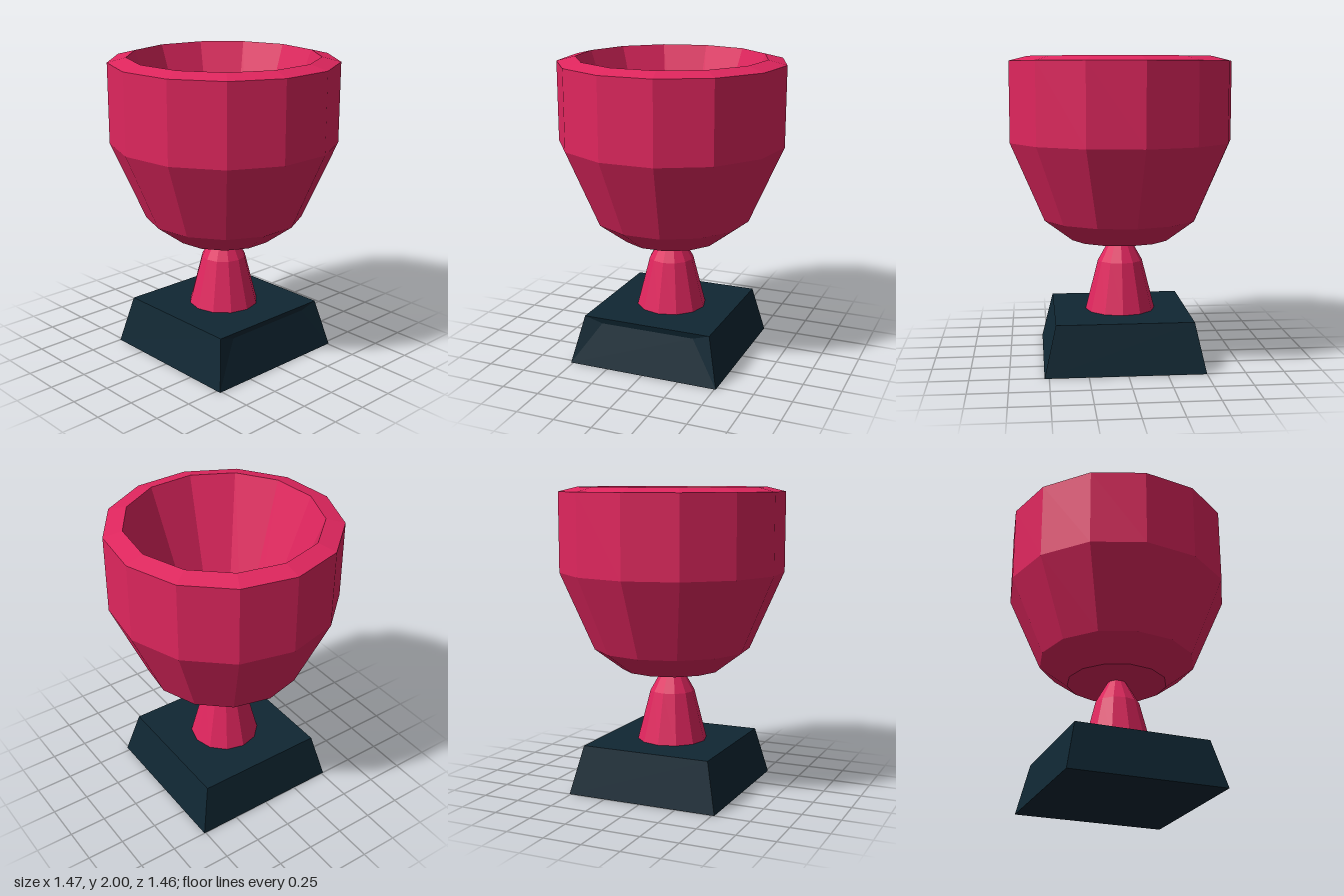
import * as THREE from 'three';

// Faceted geometry: one normal per face
function flat(geometry) {
  const g = geometry.index ? geometry.toNonIndexed() : geometry;
  g.computeVertexNormals();
  return g;
}

function turned(name, profile, sides, start, material) {
  const points = profile.map(([r, y]) => new THREE.Vector2(r, y));
  const mesh = new THREE.Mesh(flat(new THREE.LatheGeometry(points, sides, start)), material);
  mesh.name = name;
  return mesh;
}

// Tapered plinth whose front has a shallow overhanging lip under the top edge
function plinthGeometry() {
  const corners = [
    [-0.515, 0, 0.53], [0.51, 0, 0.53], [0.51, 0, -0.5], [-0.515, 0, -0.5],
    [-0.44, 0.32, 0.455], [0.435, 0.32, 0.455], [0.435, 0.32, -0.43], [-0.44, 0.32, -0.43],
    [-0.32, 0.28, 0.443], [0.32, 0.28, 0.443],
  ];
  const faces = [
    [0, 1, 9, 8], [0, 8, 4], [1, 5, 9], [8, 9, 5, 4], // front and lip
    [1, 2, 6, 5], [2, 3, 7, 6], [3, 0, 4, 7],         // sides and back
    [4, 5, 6, 7], [3, 2, 1, 0],                       // top and underside
  ];
  const positions = [];
  for (const f of faces) {
    for (let i = 1; i < f.length - 1; i++) {
      for (const k of [f[0], f[i], f[i + 1]]) positions.push(...corners[k]);
    }
  }
  const g = new THREE.BufferGeometry();
  g.setAttribute('position', new THREE.Float32BufferAttribute(positions, 3));
  return flat(g);
}

export function createModel() {
  const group = new THREE.Group();
  group.name = 'trophyCup';
  const crimson = new THREE.MeshStandardMaterial({ color: 0xe0265e });
  crimson.name = 'crimson';
  const darkTeal = new THREE.MeshStandardMaterial({ color: 0x102733 });
  darkTeal.name = 'darkTeal';

  // Thirteen-sided bowl: underside, outer wall, rim, inner wall, floor
  const bowl = turned('bowl', [
    [0, 0.8], [0.33, 0.8], [0.518, 0.94], [0.741, 1.45], [0.741, 1.97],
    [0.62, 2], [0.215, 0.92], [0, 0.92],
  ], 13, Math.PI, crimson);
  bowl.position.z = 0.01;

  // Stem narrowing up to the bowl
  const stem = turned('stem', [[0.235, 0.31], [0.148, 0.65], [0.058, 0.81]], 12, 0, crimson);
  stem.position.set(-0.004, 0, 0.01);

  const plinth = new THREE.Mesh(plinthGeometry(), darkTeal);
  plinth.name = 'plinth';

  group.add(bowl, stem, plinth);
  return group;
}
